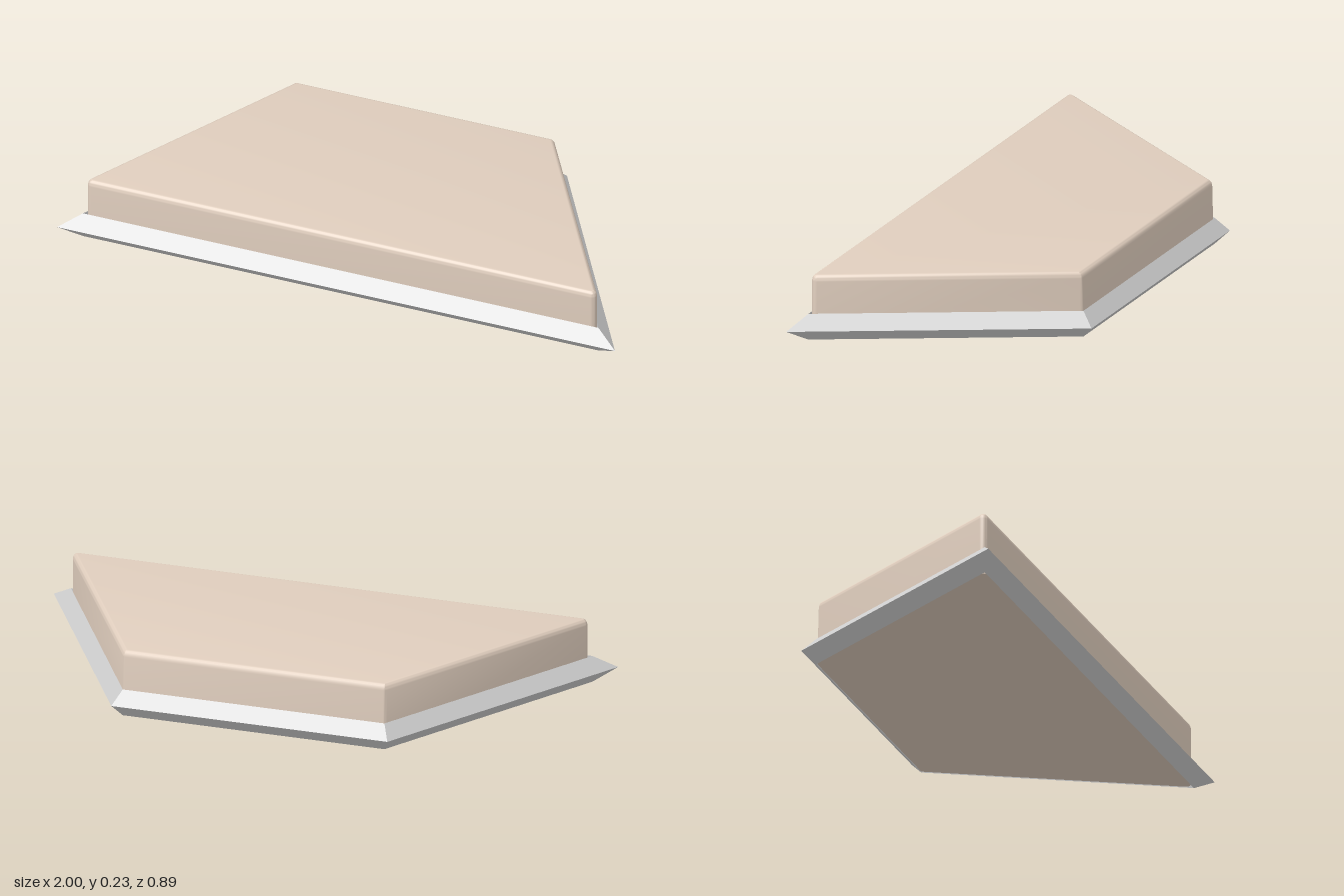
import * as THREE from 'three';
import { toCreasedNormals } from 'three/addons/utils/BufferGeometryUtils.js';

const HALF_DEPTH = 0.443;

// Corners of the trapezoid plan, moved inwards by d (sides slope at 60 degrees)
function trapezoid(d) {
  const front = 1 - d * Math.sqrt(3), back = 0.489 - d / Math.sqrt(3), z = HALF_DEPTH - d;
  return [[front, z], [back, -z], [-back, -z], [-front, z]];
}

// Trapezoid with rounded corners: arcs of radius r around the corners of the inset plan
function roundedTrapezoid(d, r, steps = 5) {
  const arcs = [[-90, 30], [30, 90], [90, 150], [150, 270]];
  return trapezoid(d).flatMap(([x, z], i) =>
    Array.from({ length: steps + 1 }, (_, k) => {
      const a = THREE.MathUtils.degToRad(THREE.MathUtils.lerp(...arcs[i], k / steps));
      return [x + r * Math.cos(a), z - r * Math.sin(a)];
    }));
}

const atHeight = (plan, y) => plan.map(([x, z]) => new THREE.Vector3(x, y, z));

// Joins a stack of equal-length loops, optionally closing both ends
function loft(loops, capped, crease) {
  const points = [], n = loops[0].length;
  for (let l = 0; l + 1 < loops.length; l++) {
    const a = loops[l], b = loops[l + 1];
    for (let i = 0; i < n; i++) {
      const j = (i + 1) % n;
      points.push(a[i], a[j], b[j], a[i], b[j], b[i]);
    }
  }
  if (capped) {
    const low = loops[0], high = loops[loops.length - 1];
    for (let i = 1; i + 1 < n; i++) {
      points.push(low[0], low[i + 1], low[i], high[0], high[i], high[i + 1]);
    }
  }
  return toCreasedNormals(new THREE.BufferGeometry().setFromPoints(points), crease);
}

export function createModel() {
  const model = new THREE.Group();
  const add = (name, geometry, color) => {
    const mesh = new THREE.Mesh(geometry, new THREE.MeshStandardMaterial({ color }));
    mesh.name = name;
    model.add(mesh);
  };

  // Mitred frame with a pointed outer edge
  const inset = 0.044, height = 0.093;
  const lower = atHeight(trapezoid(inset), 0);
  const edge = atHeight(trapezoid(0), height / 2);
  const upper = atHeight(trapezoid(inset), height);
  add('frame', loft([lower, edge, upper, lower], false, 0.2), 0xcccccc);

  // Cushion-like panel with rounded corners and top edge
  const r = 0.016, fillet = 0.022, top = 0.23, steps = 6;
  const centre = inset + 0.001 + r;
  const loops = [atHeight(roundedTrapezoid(centre, r), 0.003)];
  for (let k = 0; k <= steps; k++) {
    const a = (k / steps) * Math.PI / 2;
    const plan = roundedTrapezoid(centre, r * Math.cos(a) + 0.0005);
    loops.push(atHeight(plan, top - fillet + fillet * Math.sin(a)));
  }
  // The back face leans slightly forward
  for (const p of loops.flat()) if (p.z < 0) p.z *= 1 - 0.13 * Math.max(0, p.y - height);
  add('panel', loft(loops, true, 0.6), 0xdfcdbd);

  return model;
}
